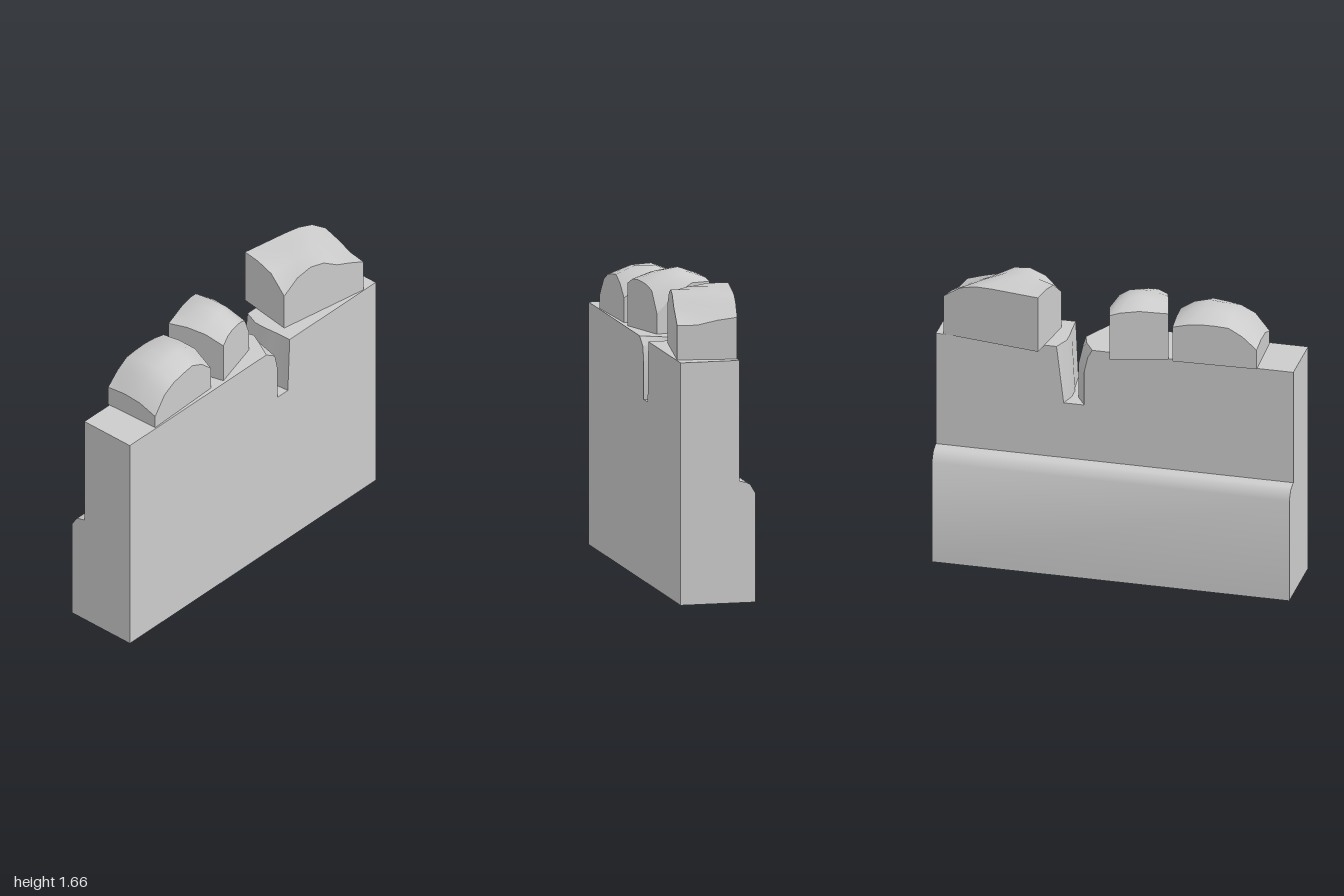
import * as THREE from 'three';
import { mergeGeometries, toCreasedNormals } from 'three/addons/utils/BufferGeometryUtils.js';

const WALL_TOP = 1.335;
const material = new THREE.MeshStandardMaterial({ color: 0xcccccc });

// Unshared triangles from a list of points, with flat normals
function geometryFrom(points) {
  const g = new THREE.BufferGeometry().setFromPoints(points);
  g.computeVertexNormals();
  return g;
}
const quad = (out, a, b, c, d) => out.push(a, b, c, a, c, d);

function addMesh(group, name, geometry) {
  const mesh = new THREE.Mesh(geometry, material);
  mesh.name = name;
  group.add(mesh);
}

// Wall with a worn gap: outlines lofted from front to back
function wallGeometry() {
  // z, then gap left side from top to bottom, then gap right side bottom and top
  const sections = [
    [0.21, 0.11, 0.18, 0.2, 0.2, 0.285, 0.3],
    [0.1, 0.17, 0.195, 0.215, 0.215, 0.275, 0.295],
    [0.04, 0.2, 0.215, 0.225, 0.225, 0.262, 0.29],
    [-0.03, 0.18, 0.205, 0.225, 0.225, 0.26, 0.29],
    [-0.12, 0.125, 0.15, 0.17, 0.17, 0.285, 0.325],
  ];
  const loops = sections.map(([z, lt, lu, lm, lb, rb, rt]) => [
    [-1, 0], [1, 0], [1, WALL_TOP], [rt, WALL_TOP], [rb, 1],
    [lb, 1], [lm, 1.2], [lu, 1.29], [lt, WALL_TOP], [-1, WALL_TOP],
  ].map(([x, y]) => new THREE.Vector3(x, y, z)));
  const tris = [];
  for (let k = 0; k < loops.length - 1; k++) {
    const f = loops[k], b = loops[k + 1];
    f.forEach((p, i) => {
      const j = (i + 1) % f.length;
      quad(tris, p, b[i], b[j], f[j]);
    });
  }
  // front and back faces
  const cap = (loop, flip) => {
    const flat = loop.map((p) => new THREE.Vector2(p.x, p.y));
    for (const [a, b, c] of THREE.ShapeUtils.triangulateShape(flat, [])) {
      tris.push(loop[a], loop[flip ? c : b], loop[flip ? b : c]);
    }
  };
  cap(loops[0], false);
  cap(loops[loops.length - 1], true);
  return toCreasedNormals(geometryFrom(tris), 0.6);
}

// Thicker lower part at the back with a rounded upper edge
function ledgeGeometry() {
  const profile = [[0.12, 0], [0.21, 0], [0.21, 0.6], [0.18, 0.65], [0.16, 0.66], [0.12, 0.67]];
  const shape = new THREE.Shape(profile.map(([x, y]) => new THREE.Vector2(x, y)));
  const g = new THREE.ExtrudeGeometry(shape, { depth: 2, bevelEnabled: false });
  g.rotateY(Math.PI / 2).translate(-1, 0, 0);
  return toCreasedNormals(g, 0.7);
}

// Block with flat sides and a worn, smooth top.
// corners: [x, z] front left edge, front right, back right, back left (in x order);
// rows: top heights from front to back
function stoneGeometry(corners, rows) {
  const [fl, fr, br, bl] = corners.map(([x, z]) => new THREE.Vector3(x, WALL_TOP, z));
  const nu = rows[0].length - 1, nv = rows.length - 1;
  const grid = rows.map((row, v) => row.map((y, u) => {
    const p = fl.clone().lerp(fr, u / nu).lerp(bl.clone().lerp(br, u / nu), v / nv);
    p.y = y;
    return p;
  }));

  const index = [];
  for (let v = 0; v < nv; v++) {
    for (let u = 0; u < nu; u++) {
      const a = v * (nu + 1) + u, d = a + nu + 1;
      quad(index, a, a + 1, d + 1, d);
    }
  }
  const top = new THREE.BufferGeometry().setFromPoints(grid.flat());
  top.setIndex(index);
  top.computeVertexNormals();

  // sides follow the rim of the top, then the underside
  const rim = [
    ...grid[0],
    ...grid.slice(1).map((r) => r[nu]),
    ...grid[nv].slice(0, nu).reverse(),
    ...grid.slice(1, nv).reverse().map((r) => r[0]),
  ];
  const tris = [];
  const base = (p) => new THREE.Vector3(p.x, WALL_TOP, p.z);
  rim.forEach((p, i) => {
    const q = rim[(i + 1) % rim.length];
    quad(tris, base(p), base(q), q, p);
  });
  quad(tris, fl, bl, br, fr);
  return mergeGeometries([top.toNonIndexed(), geometryFrom(tris)]);
}

const stones = {
  rightStone: {
    corners: [[-0.786, 0.203], [-0.316, 0.187], [-0.33, -0.145], [-0.797, -0.13]],
    rows: [
      [1.41, 1.51, 1.55, 1.565, 1.575, 1.54, 1.47],
      [1.45, 1.54, 1.585, 1.61, 1.62, 1.6, 1.55],
      [1.46, 1.55, 1.6, 1.615, 1.615, 1.6, 1.555],
      [1.45, 1.52, 1.565, 1.57, 1.57, 1.56, 1.54],
    ],
  },
  middleStone: {
    corners: [[-0.22, 0.193], [0.085, 0.107], [0.005, -0.21], [-0.305, -0.13]],
    rows: [
      [1.57, 1.6, 1.605, 1.6, 1.59, 1.565, 1.45],
      [1.61, 1.63, 1.645, 1.655, 1.65, 1.62, 1.54],
      [1.62, 1.64, 1.655, 1.665, 1.655, 1.64, 1.6],
      [1.61, 1.615, 1.62, 1.625, 1.62, 1.615, 1.6],
    ],
  },
  leftStone: {
    corners: [[0.358, 0.118], [0.904, 0.205], [0.957, -0.118], [0.406, -0.21]],
    rows: [
      [1.55, 1.63, 1.66, 1.645, 1.59, 1.56, 1.525],
      [1.64, 1.66, 1.66, 1.66, 1.62, 1.575, 1.525],
      [1.66, 1.66, 1.66, 1.66, 1.65, 1.6, 1.55],
      [1.66, 1.66, 1.66, 1.66, 1.655, 1.63, 1.565],
    ],
  },
};

export function createModel() {
  const group = new THREE.Group();
  group.name = 'battlementWall';
  addMesh(group, 'wall', wallGeometry());
  addMesh(group, 'backLedge', ledgeGeometry());
  for (const [name, { corners, rows }] of Object.entries(stones)) {
    addMesh(group, name, stoneGeometry(corners, rows));
  }
  return group;
}
